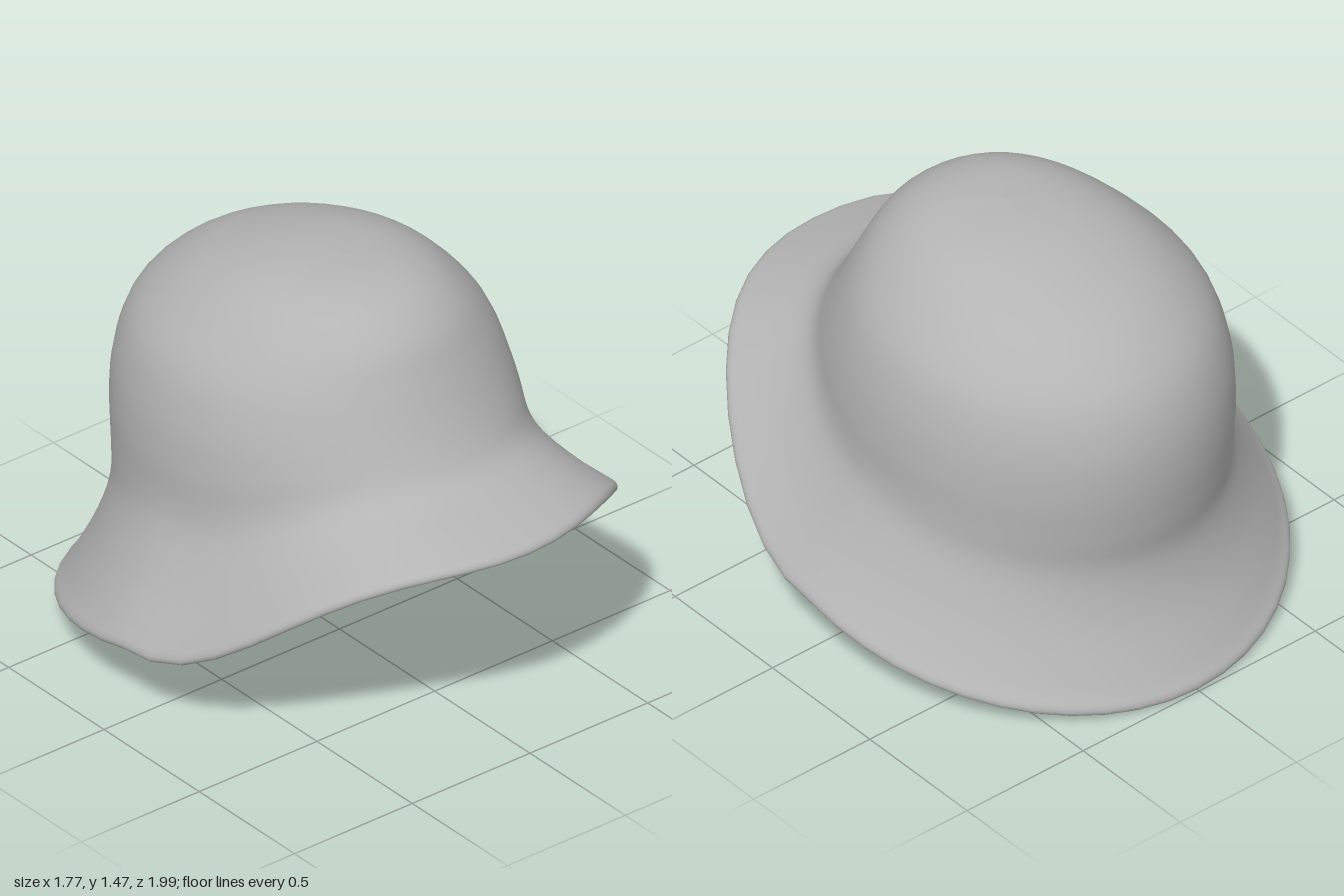
import * as THREE from 'three';

const SEGMENTS = 48;
const STEPS = 4; // smoothing rows between given rings
const THICKNESS = 0.04;

// Ring: front height and reach, side height and reach, back height and reach, centre z
const OUTER = [
  [1.465, 0, 1.465, 0, 1.465, 0, 0],
  [1.455, 0.18, 1.445, 0.2, 1.445, 0.22, -0.02],
  [1.41, 0.32, 1.39, 0.34, 1.38, 0.45, -0.06],
  [1.32, 0.425, 1.29, 0.46, 1.29, 0.64, -0.1],
  [1.2, 0.49, 1.16, 0.565, 1.15, 0.785, -0.14],
  [1.08, 0.55, 1.0, 0.62, 0.98, 0.85, -0.14],
  [0.985, 0.605, 0.84, 0.643, 0.8, 0.862, -0.13],
  [0.915, 0.66, 0.7, 0.65, 0.62, 0.845, -0.12],
  [0.875, 0.73, 0.6, 0.675, 0.46, 0.825, -0.1],
  [0.845, 0.83, 0.45, 0.755, 0.28, 0.865, -0.07],
  [0.815, 0.93, 0.33, 0.84, 0.09, 0.96, -0.05],
  [0.797, 0.982, 0.27, 0.882, 0.03, 0.998, -0.05],
];

const LINER = [
  [1.38, 0, 1.38, 0, 1.38, 0, 0],
  [1.32, 0.28, 1.3, 0.31, 1.29, 0.4, -0.06],
  [1.15, 0.42, 1.1, 0.5, 1.09, 0.7, -0.13],
  [0.95, 0.5, 0.8, 0.57, 0.78, 0.77, -0.13],
  [0.79, 0.52, 0.4, 0.585, 0.31, 0.72, -0.1],
];

// Move ring j inward across its wall, and past its edge along the wall
function offsetRing(rings, j, inward, along) {
  const ring = [...rings[j]];
  const before = rings[Math.max(j - 1, 0)], after = rings[Math.min(j + 1, rings.length - 1)];
  for (let k = 0; k < 6; k += 2) {
    const dy = after[k] - before[k], dr = after[k + 1] - before[k + 1];
    const length = Math.hypot(dy, dr);
    ring[k] += (along * dy - inward * dr) / length;
    ring[k + 1] = Math.max(0, ring[k + 1] + (along * dr + inward * dy) / length);
  }
  return j === 0 ? rings[0].map((v, k) => (k < 6 && k % 2 === 0 ? v - inward : v)) : ring;
}

// Smooth in-between ring through four neighbours
function blend(rings, j, t) {
  const at = (k) => rings[Math.min(Math.max(k, 0), rings.length - 1)];
  return rings[0].map((_, n) => {
    const [a, b, c, d] = [at(j - 1)[n], at(j)[n], at(j + 1)[n], at(j + 2)[n]];
    return b + 0.5 * t * (c - a + t * (2 * a - 5 * b + 4 * c - d + t * (3 * (b - c) + d - a)));
  });
}

// Skin an oval ring list; height sweeps from front to side to back
function skin(rings, ragged = 0) {
  const positions = [], indices = [];
  const rows = (rings.length - 1) * STEPS;
  for (let r = 0; r <= rows; r++) {
    const j = Math.min(Math.floor(r / STEPS), rings.length - 2);
    const [fy, fr, sy, sr, by, br, zc] = blend(rings, j, r / STEPS - j);
    for (let i = 0; i < SEGMENTS; i++) {
      const a = (i / SEGMENTS) * Math.PI * 2;
      const c = Math.cos(a);
      const p = Math.pow(Math.max(c, 0), 1.2);
      let y = c > 0 ? sy + (fy - sy) * p * p * (3 - 2 * p) : sy - (by - sy) * c;
      if (r === rows) y += ragged * Math.sin(i * 2.3) * Math.sin(i * 0.9);
      // the centre shift fades out at the pole
      const z0 = sr > 0 ? zc : 0;
      positions.push(sr * Math.sin(a), y, z0 + (c > 0 ? fr - z0 : br + z0) * c);
      if (r === rows) continue;
      const n = (i + 1) % SEGMENTS;
      const top = r * SEGMENTS, low = top + SEGMENTS;
      indices.push(top + i, low + i, low + n, top + i, low + n, top + n);
    }
  }
  const geometry = new THREE.BufferGeometry();
  geometry.setAttribute('position', new THREE.Float32BufferAttribute(positions, 3));
  geometry.setIndex(indices);
  geometry.computeVertexNormals();
  return geometry;
}

export function createModel() {
  const group = new THREE.Group();
  group.name = 'helmet';
  const grey = new THREE.MeshStandardMaterial({ color: 0xb4b4b4, side: THREE.DoubleSide });
  grey.name = 'plain grey';

  const add = (name, geometry) => {
    const mesh = new THREE.Mesh(geometry, grey);
    mesh.name = name;
    group.add(mesh);
    return mesh;
  };

  // Shell: outer wall, rounded edge, then the inner wall back up to the crown
  const last = OUTER.length - 1;
  const edge = offsetRing(OUTER, last, THICKNESS / 2, THICKNESS / 2);
  const inner = OUTER.map((_, j) => offsetRing(OUTER, j, THICKNESS, 0)).reverse();
  add('shell', skin([...OUTER, edge, ...inner]));

  add('liner', skin(LINER, 0.015));

  // Strap end hanging from the back of the liner
  const strap = add('strapEnd', new THREE.BoxGeometry(0.085, 0.15, 0.006));
  strap.position.set(0.235, 0.262, -0.66);
  strap.rotation.z = -0.35;

  // Small liner tabs along the lower edge
  for (const [x, y, z, turn] of [[-0.08, 0.31, -0.71, 0], [-0.28, 0.325, -0.64, 0.4], [0.5, 0.37, -0.42, -0.9], [-0.5, 0.37, -0.42, 0.9]]) {
    const tab = add('linerTab', new THREE.BoxGeometry(0.1, 0.04, 0.006));
    tab.position.set(x, y, z);
    tab.rotation.y = turn;
  }
  return group;
}
